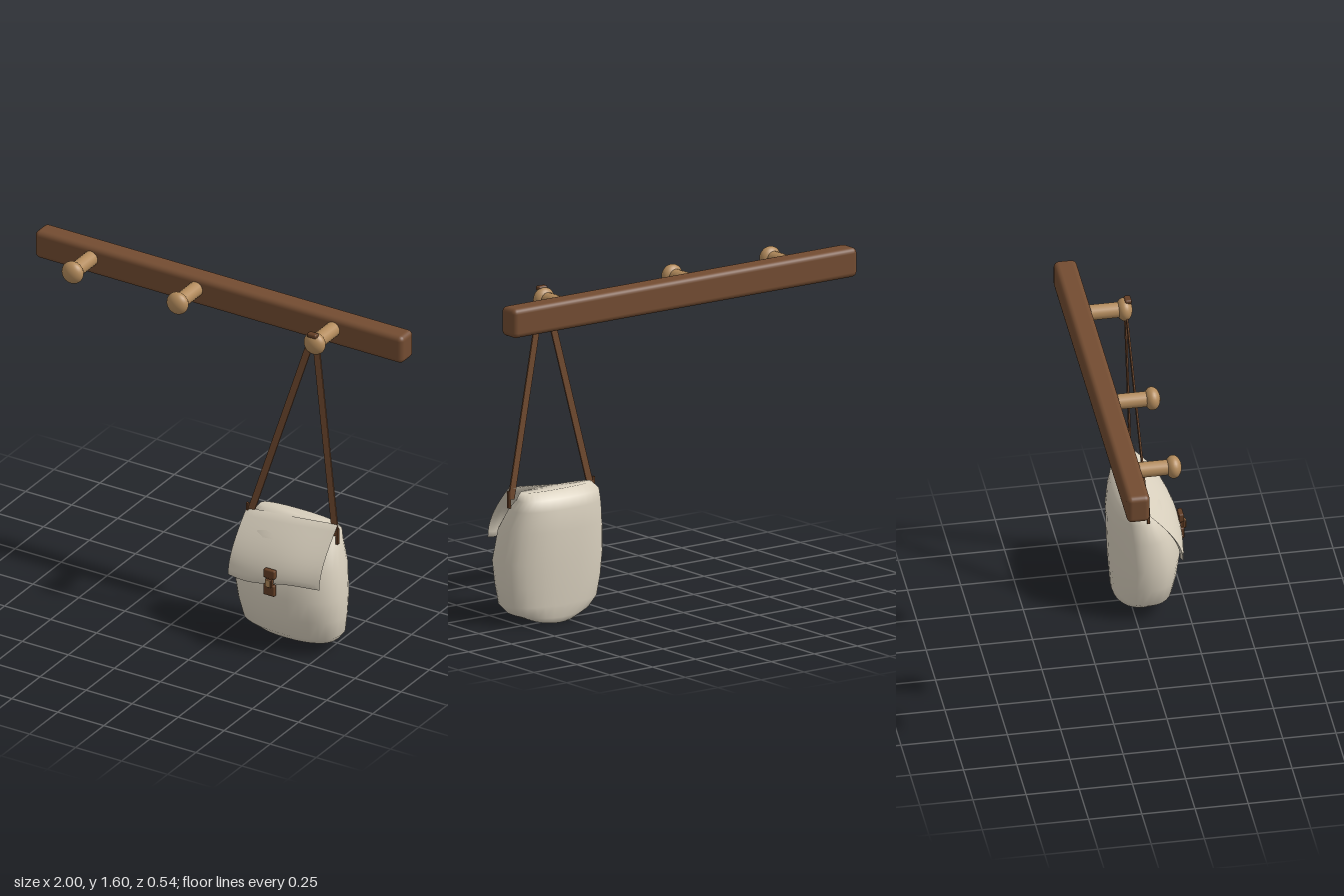
import * as THREE from 'three';
import { RoundedBoxGeometry } from 'three/addons/geometries/RoundedBoxGeometry.js';

const mat = (name, color, side = THREE.FrontSide) => {
  const m = new THREE.MeshStandardMaterial({ color, side });
  m.name = name;
  return m;
};

// Smooth skin over closed cross-sections
function loft(rings) {
  const n = rings[0].length, index = [];
  for (let i = 0; i < rings.length - 1; i++) {
    for (let j = 0; j < n; j++) {
      const k = (j + 1) % n, a = i * n + j, b = i * n + k, c = a + n, d = b + n;
      index.push(a, c, b, b, c, d);
    }
  }
  const geo = new THREE.BufferGeometry().setFromPoints(rings.flat());
  geo.setIndex(index);
  geo.computeVertexNormals();
  return geo;
}

// Soft bag: superellipse sections [y, left x, right x, back z, front z]
function bagGeometry() {
  const sections = [
    [0.035, 0.569, 0.571, 0.019, 0.021],
    [0.035, 0.43, 0.71, -0.055, 0.1],
    [0.055, 0.35, 0.78, -0.075, 0.16],
    [0.095, 0.297, 0.812, -0.08, 0.2],
    [0.19, 0.275, 0.825, -0.088, 0.22],
    [0.3, 0.262, 0.833, -0.093, 0.235],
    [0.45, 0.275, 0.817, -0.098, 0.203],
    [0.55, 0.295, 0.785, -0.09, 0.14],
    [0.6, 0.31, 0.77, -0.075, 0.078],
    [0.635, 0.34, 0.75, -0.03, 0.05],
    [0.628, 0.549, 0.551, 0.009, 0.011],
  ];
  const soft = (v) => Math.sign(v) * Math.abs(v) ** 0.86;
  return loft(sections.map(([y, x0, x1, z0, z1]) => Array.from({ length: 32 }, (_, j) => {
    const a = (j / 32) * Math.PI * 2;
    const x = (x0 + x1) / 2 + soft(Math.cos(a)) * (x1 - x0) / 2;
    const z = (z0 + z1) / 2 + soft(Math.sin(a)) * (z1 - z0) / 2;
    // the base sags towards the back
    const sag = y < 0.09 ? 0.036 * Math.exp(-(((x - 0.57) / 0.13) ** 2) - ((z + 0.03) / 0.06) ** 2) : 0;
    return new THREE.Vector3(x, y - sag, z);
  })));
}

// Curved flap with a wavy lower edge, thinning at both sides
function flapGeometry() {
  const rings = [], cols = 20, rows = 10;
  for (let i = 0; i <= cols; i++) {
    const u = i / cols, s = 2 * u - 1, ring = [];
    const top = 0.612 + 0.05 * u;
    const bottom = 0.335 + 0.06 * u + 0.009 * Math.sin(u * 2.2 * Math.PI + Math.PI);
    const thick = i === 0 || i === cols ? 0 : 0.016;
    const point = (t, inset) => new THREE.Vector3(
      0.288 + 0.497 * u,
      THREE.MathUtils.lerp(top, bottom, t) - inset * 0.6 * (1 - t),
      0.05 + 0.165 * Math.sin(t * Math.PI / 2) + 0.03 * (1 - s * s) * (0.2 + 0.8 * t) - inset * (0.4 + 0.6 * t));
    for (let j = rows; j >= 0; j--) ring.push(point(j / rows, 0));
    for (let j = 0; j <= rows; j++) ring.push(point(j / rows, thick));
    rings.push(ring);
  }
  return loft(rings);
}

export function createModel() {
  const group = new THREE.Group();
  const brown = mat('brown wood and leather', 0x734c31);
  const dark = mat('dark leather', 0x633e25);
  const tan = mat('tan wood', 0xb38b5c);
  const cream = mat('cream canvas', 0xd9d0be, THREE.DoubleSide);

  const add = (name, geo, material, x = 0, y = 0, z = 0, parent = group) => {
    const mesh = new THREE.Mesh(geo, material);
    mesh.name = name;
    mesh.position.set(x, y, z);
    parent.add(mesh);
    return mesh;
  };

  // Wall rail
  add('rail', new RoundedBoxGeometry(2, 0.14, 0.108, 3, 0.025), brown, 0, 1.53, -0.219);

  // Pegs with flattened ball ends
  for (const x of [-0.69, -0.12, 0.625]) {
    const peg = new THREE.Group();
    peg.name = 'peg';
    peg.position.set(x, 1.545, 0);
    add('pegShaft', new THREE.CylinderGeometry(0.037, 0.037, 0.17, 16), tan, 0, 0, -0.1, peg).rotation.x = Math.PI / 2;
    add('pegBall', new THREE.SphereGeometry(0.055, 24, 16), tan, 0, 0, -0.004, peg).scale.z = 0.7;
    group.add(peg);
  }

  // Hanging straps, from the bag sides up to the last peg
  const up = new THREE.Vector3(0, 1, 0);
  for (const [x, y, topX, sideX] of [[0.308, 0.585, 0.62, 0.296], [0.773, 0.6, 0.63, 0.784]]) {
    const a = new THREE.Vector3(x, y, 0.052), b = new THREE.Vector3(topX, 1.592, 0.0);
    const dir = b.clone().sub(a), mid = a.clone().add(b).multiplyScalar(0.5);
    const strap = add('strap', new THREE.BoxGeometry(0.034, dir.length(), 0.008), brown, mid.x, mid.y, mid.z);
    strap.quaternion.setFromUnitVectors(up, dir.normalize());
    add('strapTab', new THREE.BoxGeometry(0.012, 0.08, 0.014), dark, sideX, 0.6, 0.053);
  }
  add('strapLoop', new RoundedBoxGeometry(0.05, 0.022, 0.032, 2, 0.008), dark, 0.625, 1.595, 0.013);

  // Bag
  add('bagBody', bagGeometry(), cream);
  add('bagFlap', flapGeometry(), cream);

  // Clasp
  add('claspPlate', new RoundedBoxGeometry(0.034, 0.12, 0.02, 2, 0.005), dark, 0.535, 0.378, 0.245);
  add('claspTop', new RoundedBoxGeometry(0.06, 0.044, 0.024, 2, 0.006), dark, 0.535, 0.422, 0.245);
  add('claspBottom', new RoundedBoxGeometry(0.06, 0.056, 0.024, 2, 0.006), dark, 0.535, 0.339, 0.247);
  add('claspToggle', new RoundedBoxGeometry(0.032, 0.04, 0.014, 2, 0.004), dark, 0.535, 0.378, 0.261);
  add('claspPin', new THREE.BoxGeometry(0.026, 0.036, 0.004), tan, 0.535, 0.38, 0.268);

  return group;
}
